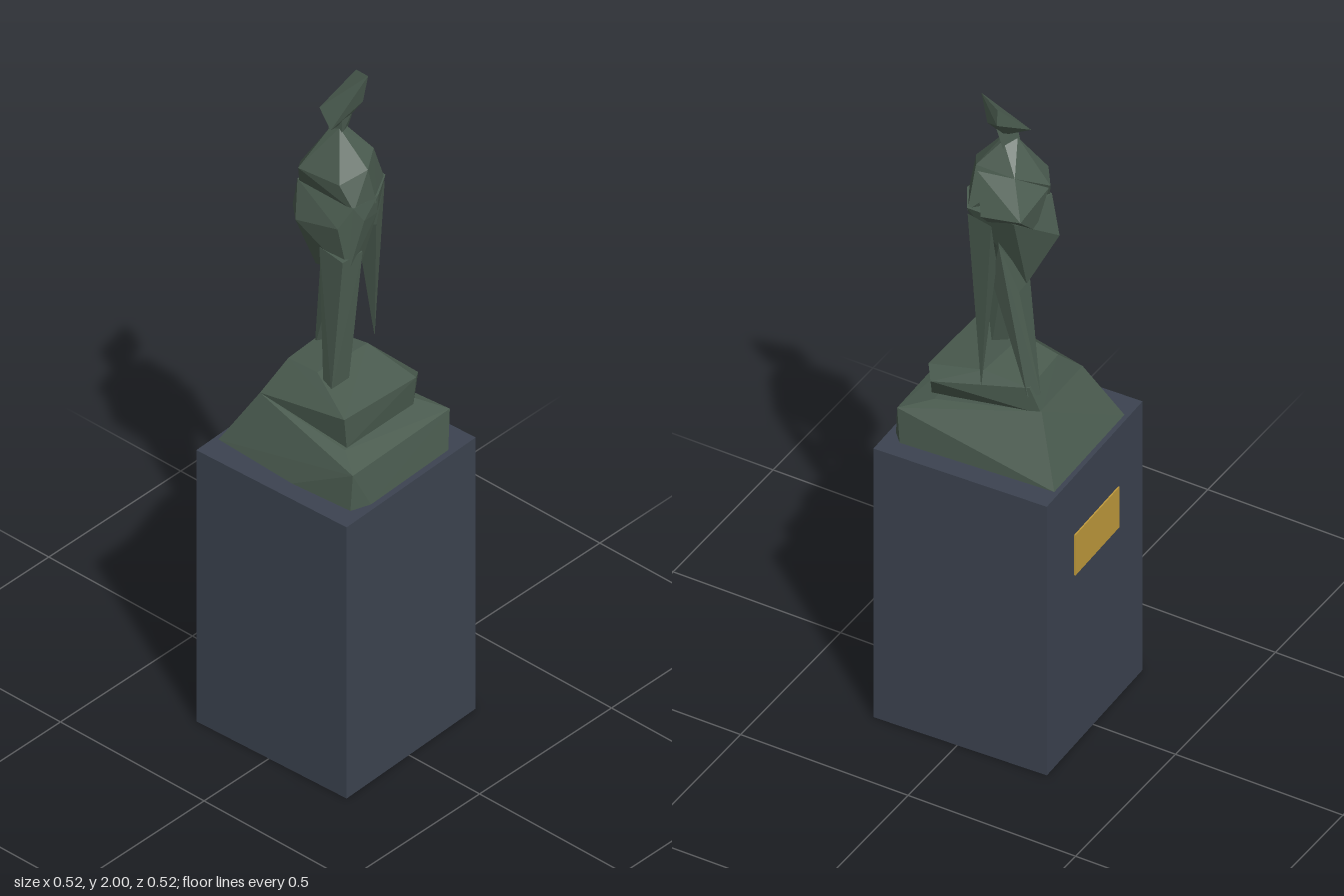
import * as THREE from 'three';
import { ConvexGeometry } from 'three/addons/geometries/ConvexGeometry.js';

export function createModel() {
  const model = new THREE.Group();
  model.name = 'statueOnPedestal';

  const material = (name, color) => {
    const m = new THREE.MeshStandardMaterial({ color });
    m.name = name;
    return m;
  };
  const slate = material('slate', 0x3c4350);
  const bronze = material('bronze', 0x4a5b4f);
  const brass = material('brass', 0xc09a3c);

  const add = (parent, name, geometry, mat) => {
    const mesh = new THREE.Mesh(geometry, mat);
    mesh.name = name;
    parent.add(mesh);
    return mesh;
  };
  // Faceted solid spanned by a few corner points
  const facet = (parent, name, points) =>
    add(parent, name, new ConvexGeometry(points.map(p => new THREE.Vector3(...p))), bronze);

  // Pedestal, turned slightly, with a plaque on its -x side
  const pedestal = new THREE.Group();
  pedestal.name = 'pedestal';
  pedestal.rotation.y = 0.0335;
  model.add(pedestal);
  add(pedestal, 'block', new THREE.BoxGeometry(0.508, 0.868, 0.508), slate).position.y = 0.434;
  add(pedestal, 'plaque', new THREE.BoxGeometry(0.006, 0.13, 0.235), brass).position.set(-0.255, 0.615, 0.008);

  // Rocky base in two tiers
  const rock = new THREE.Group();
  rock.name = 'rock';
  model.add(rock);
  const outline = [[-0.247, -0.182], [0.2, -0.207], [0.23, -0.175], [0.242, 0.13], [0.222, 0.187], [0.03, 0.202], [-0.235, 0.19]];
  facet(rock, 'lowerTier', [
    ...outline.map(([x, z]) => [x, 0.867, z]),
    [0.21, 0.975, -0.203], [0.222, 0.975, 0.178], [0.155, 1.0, 0.135], [0.13, 1.0, -0.15],
    [-0.16, 1.04, -0.1], [-0.145, 1.03, 0.13],
  ]);
  facet(rock, 'upperTier', [
    [-0.16, 1.03, -0.1], [-0.145, 1.03, 0.13], [0.152, 1.0, 0.125], [0.15, 1.0, -0.13],
    [0.153, 1.095, 0.135], [0.16, 1.09, -0.13], [0.13, 1.07, -0.17],
    [-0.12, 1.11, 0.05], [-0.13, 1.11, -0.11], [-0.01, 1.125, 0.06], [0, 1.125, -0.12],
  ]);

  // Standing figure
  const figure = new THREE.Group();
  figure.name = 'figure';
  model.add(figure);
  facet(figure, 'leftLeg', [
    [0.018, 1.1, 0.03], [0.055, 1.1, 0.078], [0.055, 1.1, 0.012], [0.02, 1.1, 0.07],
    [0.02, 1.3, 0.04], [0.058, 1.4, -0.015], [-0.03, 1.5, 0.03], [-0.02, 1.5, -0.03],
    [0.062, 1.5, 0.042], [0.065, 1.5, -0.03],
  ]);
  facet(figure, 'rightLeg', [
    [-0.148, 1.08, -0.085], [-0.125, 1.08, -0.055], [-0.1, 1.1, -0.08], [-0.125, 1.08, -0.112],
    [-0.093, 1.4, -0.1], [-0.09, 1.4, -0.04], [-0.025, 1.42, -0.03], [-0.02, 1.42, -0.115],
    [-0.05, 1.55, -0.13], [0, 1.55, -0.06],
  ]);
  facet(figure, 'coatSkirt', [
    [-0.125, 1.66, 0.01], [0.07, 1.66, 0.01], [0.075, 1.66, -0.08], [0.03, 1.66, -0.155], [-0.11, 1.66, -0.155],
    [-0.16, 1.55, -0.01], [-0.1, 1.56, 0.045], [0.045, 1.6, 0.043], [0.08, 1.61, -0.02], [0.07, 1.6, -0.08],
    [-0.092, 1.4, -0.06], [-0.08, 1.4, -0.01], [-0.01, 1.4, -0.05], [0.06, 1.45, 0.02], [0.045, 1.45, -0.05],
  ]);
  facet(figure, 'coatTail', [
    [-0.02, 1.11, -0.168], [-0.05, 1.64, -0.168], [0.03, 1.64, -0.152],
    [0.03, 1.52, -0.12], [-0.035, 1.48, -0.115],
  ]);
  facet(figure, 'chest', [
    [-0.05, 1.84, -0.035], [-0.02, 1.85, -0.035], [-0.025, 1.84, -0.065],
    [0.065, 1.75, -0.05], [0.03, 1.77, -0.11], [-0.08, 1.76, -0.1],
    [-0.1, 1.72, 0.035], [-0.133, 1.7, -0.01], [0.03, 1.72, 0.02],
    [-0.12, 1.65, 0.008], [0.07, 1.65, 0.008], [0.077, 1.64, -0.07], [0.03, 1.65, -0.152],
  ]);
  facet(figure, 'bentArm', [
    [-0.135, 1.68, -0.164], [-0.02, 1.66, -0.17], [-0.08, 1.76, -0.1], [0.02, 1.76, -0.12],
    [-0.134, 1.7, -0.02], [-0.13, 1.6, -0.08], [-0.03, 1.6, -0.12],
  ]);
  facet(figure, 'neck', [
    [-0.055, 1.83, -0.03], [-0.012, 1.83, -0.035], [-0.03, 1.82, -0.075],
    [-0.045, 1.89, -0.035], [-0.01, 1.89, -0.035], [-0.015, 1.89, -0.085],
  ]);
  facet(figure, 'head', [
    [-0.09, 1.88, -0.035], [-0.015, 1.865, 0.004], [-0.025, 1.855, -0.06],
    [-0.04, 1.98, -0.12], [0.02, 2.0, -0.1], [-0.04, 1.93, -0.122], [0.002, 1.91, -0.1],
  ]);

  return model;
}
